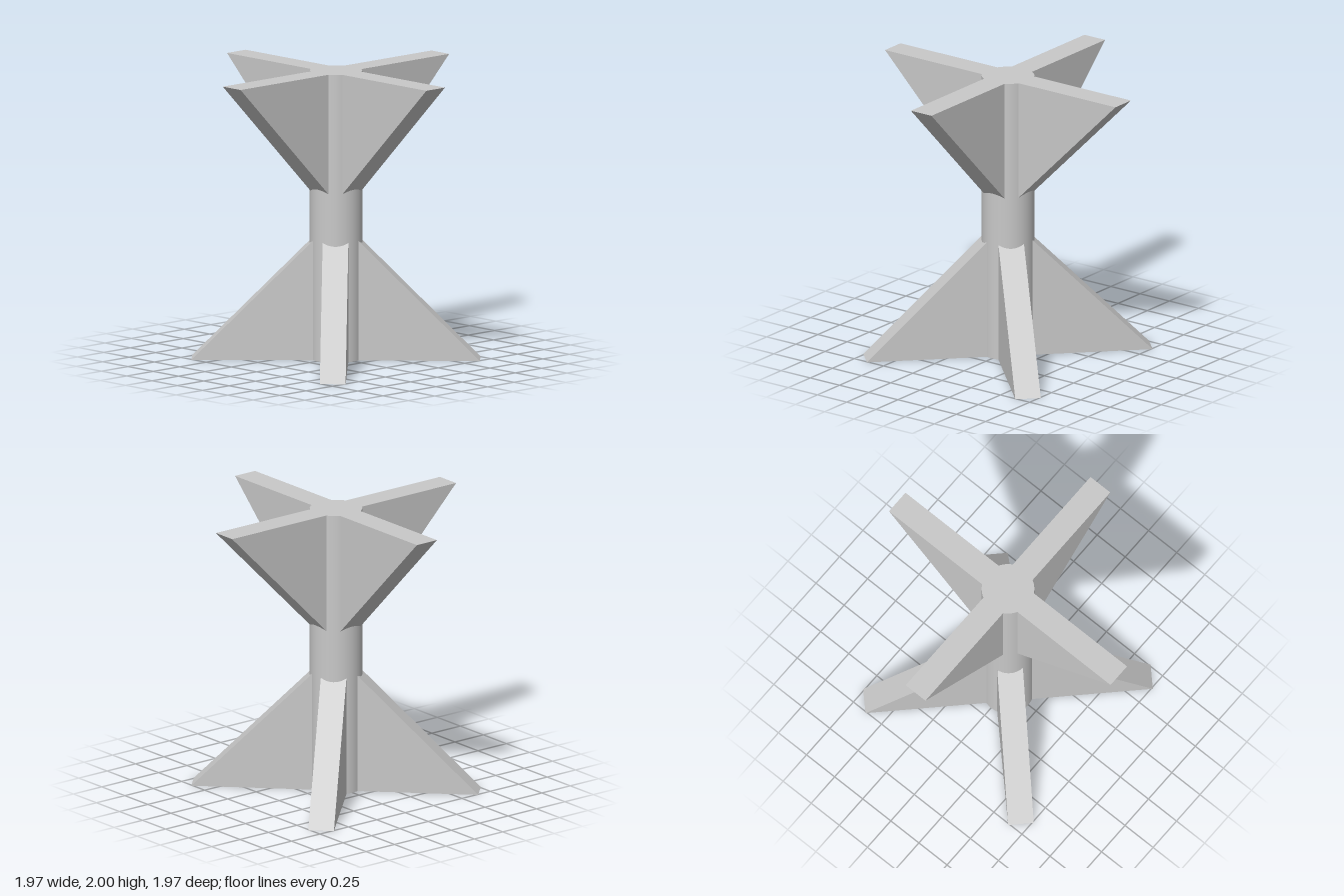
import * as THREE from 'three';

const RADIUS = 0.18, HEIGHT = 2, REACH = 0.986, INNER = 0.15, THICKNESS = 0.176;

// Triangular fin running out along +x, from just inside the column to a sharp tip.
function finGeometry(baseY, direction) {
  const shape = new THREE.Shape([
    new THREE.Vector2(INNER, baseY),
    new THREE.Vector2(REACH, baseY),
    new THREE.Vector2(INNER, baseY + direction * (REACH - INNER)),
  ]);
  const geometry = new THREE.ExtrudeGeometry(shape, { depth: THICKNESS, bevelEnabled: false });
  return geometry.translate(0, 0, -THICKNESS / 2);
}

export function createModel() {
  const model = new THREE.Group();
  model.name = 'finnedColumn';
  const grey = new THREE.MeshStandardMaterial({ color: 0xc8c8c8 });
  grey.name = 'lightGrey';

  // Central column
  const column = new THREE.Mesh(new THREE.CylinderGeometry(RADIUS, RADIUS, HEIGHT, 64), grey);
  column.name = 'column';
  column.position.y = HEIGHT / 2;
  model.add(column);

  // Four fins around the column
  function addFins(name, geometry, startAngle) {
    const fins = new THREE.Group();
    fins.name = name + 's';
    for (let i = 0; i < 4; i++) {
      const fin = new THREE.Mesh(geometry, grey);
      fin.name = name;
      fin.rotation.y = startAngle + (i * Math.PI) / 2;
      fins.add(fin);
    }
    model.add(fins);
  }

  // Upper fins lie on the axes, lower fins on the diagonals
  addFins('upperFin', finGeometry(HEIGHT, -1), 0);
  addFins('lowerFin', finGeometry(0, 1), Math.PI / 4);

  return model;
}
